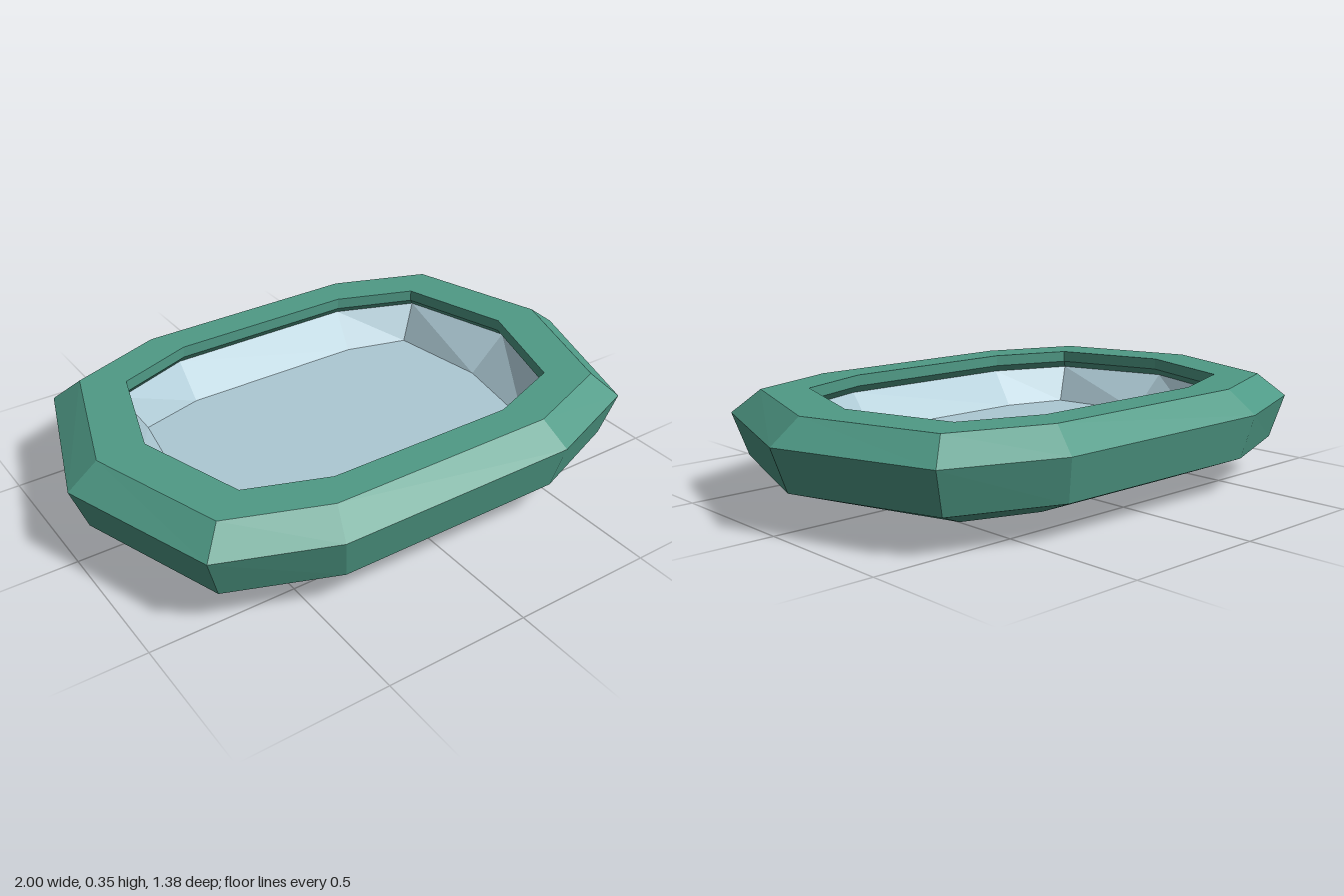
import * as THREE from 'three';

// Ten-sided outline at height y: end point (a,0), diagonal corner (b,c), long-side corner (d,e), mirrored four ways
function outline(y, a, b, c, d, e) {
  return [[a, 0], [b, c], [d, e], [-d, e], [-b, c], [-a, 0], [-b, -c], [-d, -e], [d, -e], [b, -c]]
    .map(([x, z]) => new THREE.Vector3(x, y, z));
}

// Faceted skin through successive outlines, leaving out collapsed triangles
function skin(rings) {
  const pos = [];
  const tri = (p, q, r) => {
    const area = q.clone().sub(p).cross(r.clone().sub(p)).length();
    if (area > 1e-7) for (const v of [p, q, r]) pos.push(v.x, v.y, v.z);
  };
  for (let i = 0; i < rings.length - 1; i++) {
    const lo = rings[i], hi = rings[i + 1];
    for (let j = 0; j < lo.length; j++) {
      const k = (j + 1) % lo.length;
      tri(lo[j], hi[j], hi[k]);
      tri(lo[j], hi[k], lo[k]);
    }
  }
  const g = new THREE.BufferGeometry();
  g.setAttribute('position', new THREE.Float32BufferAttribute(pos, 3));
  g.computeVertexNormals();
  return g;
}

export function createModel() {
  const green = new THREE.MeshStandardMaterial({ color: 0x4f9a86, flatShading: true, side: THREE.DoubleSide });
  green.name = 'sea green';
  const blue = new THREE.MeshStandardMaterial({ color: 0xadc9d4, flatShading: true, side: THREE.DoubleSide });
  blue.name = 'pale blue';

  const model = new THREE.Group();
  model.name = 'basin';

  // Outer shell: keel line, underside, sides, bevel, flat rim, inner wall and undercut lip
  const shell = new THREE.Mesh(skin([
    outline(0.003, 0.35, 0.35, 0, 0.35, 0),
    outline(0.032, 0.64, 0.56, 0.34, 0.30, 0.43),
    outline(0.125, 0.945, 0.77, 0.515, 0.41, 0.655),
    outline(0.275, 1, 0.815, 0.545, 0.435, 0.69),
    outline(0.355, 0.895, 0.74, 0.475, 0.405, 0.60),
    outline(0.355, 0.73, 0.61, 0.38, 0.335, 0.482),
    outline(0.315, 0.73, 0.61, 0.38, 0.335, 0.482),
    outline(0.29, 0.755, 0.63, 0.395, 0.345, 0.502),
  ]), green);
  shell.name = 'shell';

  // Inner lining with sloping walls and a flat floor
  const lining = new THREE.Mesh(skin([
    outline(0.29, 0.755, 0.63, 0.395, 0.345, 0.502),
    outline(0.165, 0.62, 0.56, 0.35, 0.335, 0.412),
    outline(0.165, 0, 0, 0, 0, 0),
  ]), blue);
  lining.name = 'lining';

  model.add(shell, lining);
  return model;
}
